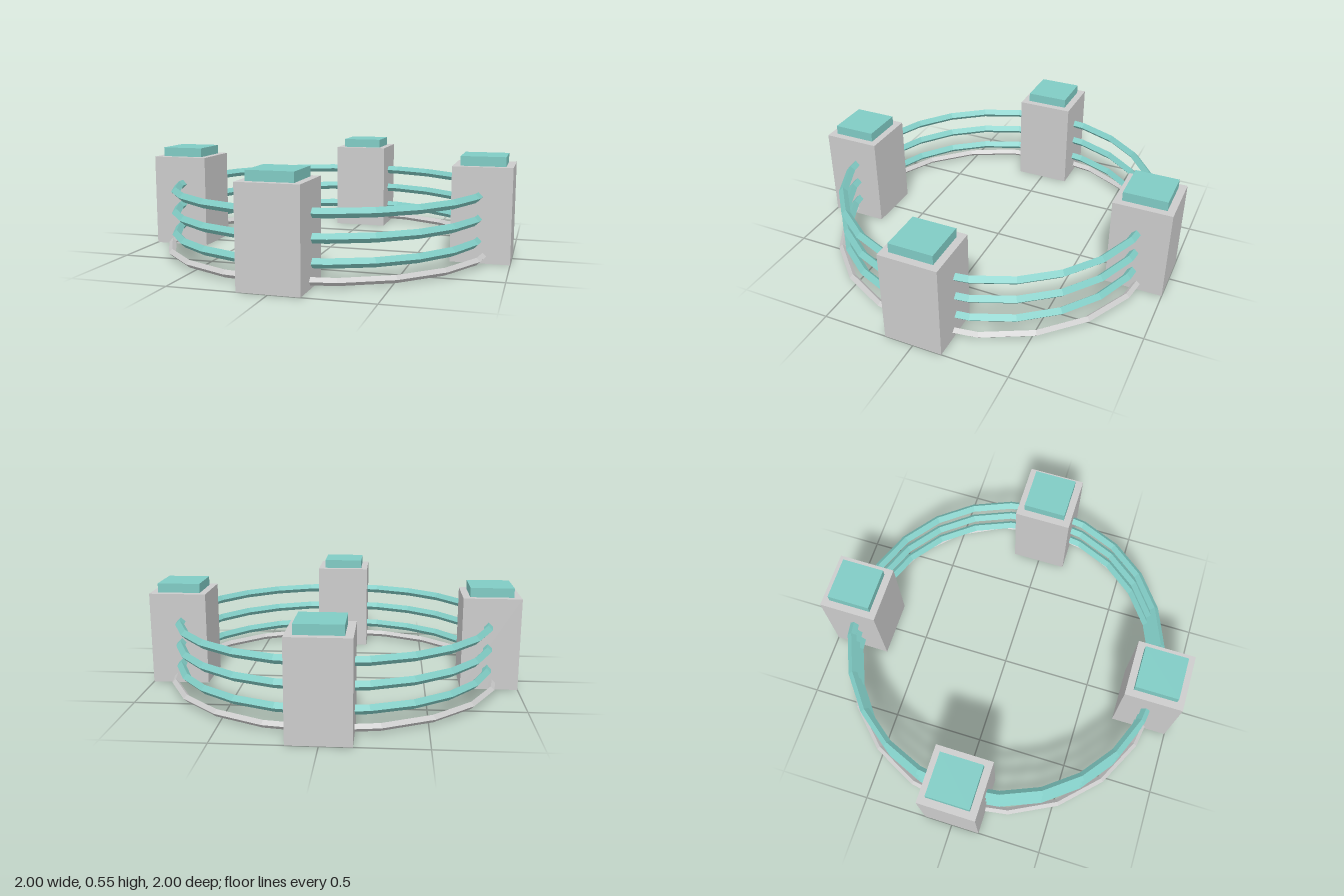
import * as THREE from 'three';

export function createModel() {
  const model = new THREE.Group();
  model.name = 'ringFence';
  const grey = new THREE.MeshStandardMaterial({ color: 0xcccccc, flatShading: true });
  const teal = new THREE.MeshStandardMaterial({ color: 0x80cbc4, flatShading: true });
  const radius = 0.846;

  const add = (parent, name, geometry, material, y) => {
    const mesh = new THREE.Mesh(geometry, material);
    mesh.name = name;
    mesh.position.y = y;
    parent.add(mesh);
    return mesh;
  };

  // Four square posts with raised caps
  const postGeometry = new THREE.BoxGeometry(0.308, 0.5, 0.308);
  const capGeometry = new THREE.BoxGeometry(0.231, 0.05, 0.231);
  for (let i = 0; i < 4; i++) {
    const post = new THREE.Group();
    post.name = 'post' + (i + 1);
    const a = (i * Math.PI) / 2;
    post.position.set(radius * Math.sin(a), 0, radius * Math.cos(a));
    add(post, 'pillar', postGeometry, grey, 0.25);
    add(post, 'cap', capGeometry, teal, 0.525);
    model.add(post);
  }

  // Horizontal rings with a diamond cross-section
  const ring = (name, r, tube, segments, material, y) => {
    const geometry = new THREE.TorusGeometry(r, tube, 4, segments).rotateX(Math.PI / 2);
    add(model, name, geometry, material, y);
  };
  ring('baseRing', 0.885, 0.0192, 20, grey, 0.038);
  [0.115, 0.231, 0.348].forEach((y, i) => ring('rail' + (i + 1), 0.85, 0.024, 24, teal, y));

  return model;
}
